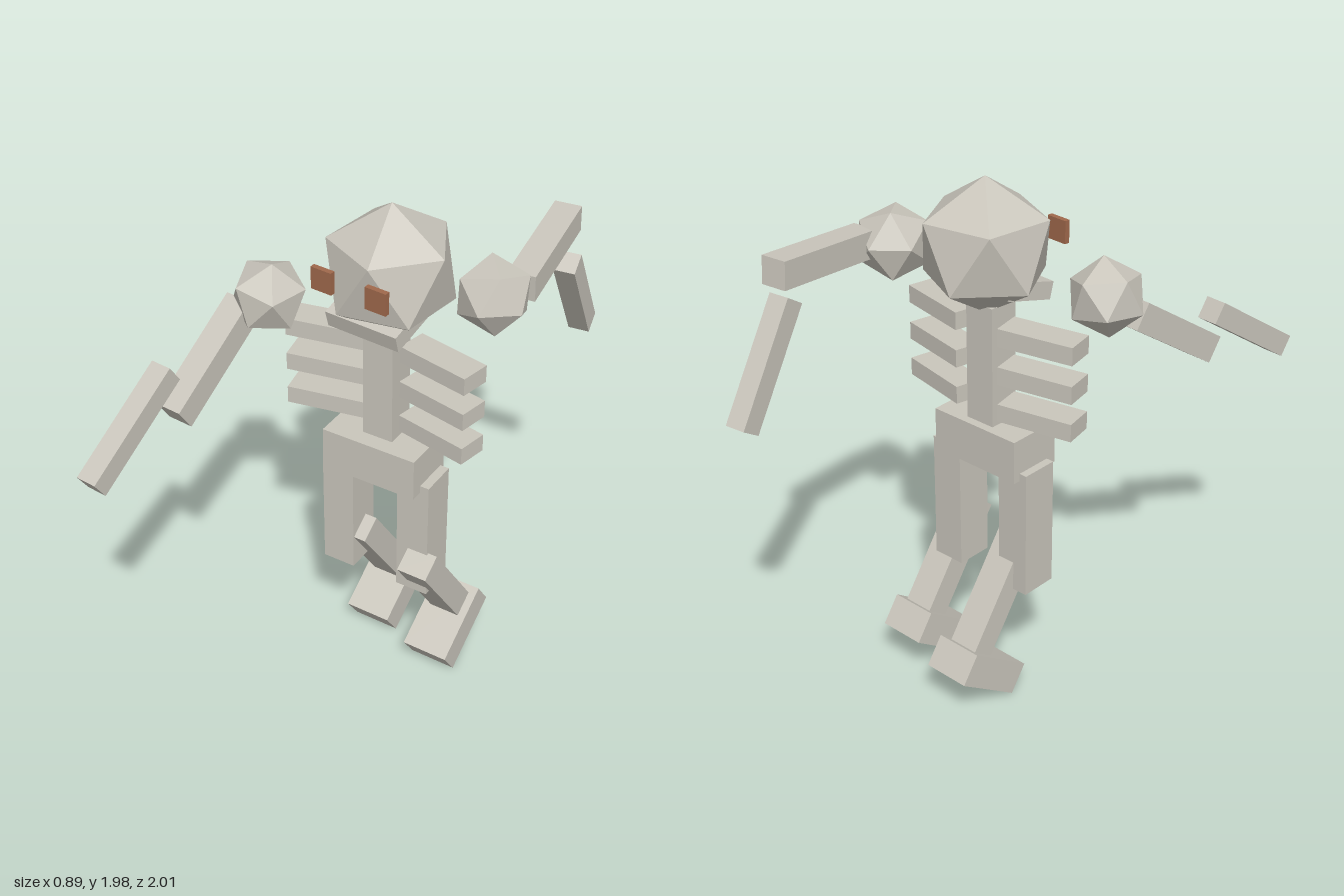
import * as THREE from 'three';

const D = Math.PI / 180;

export function createModel() {
  const model = new THREE.Group();
  model.name = 'skeletonFigure';

  const bone = new THREE.MeshStandardMaterial({ color: 0xcac6bc });
  bone.name = 'bone';
  const eyeBrown = new THREE.MeshStandardMaterial({ color: 0xa0694c });
  eyeBrown.name = 'eyeBrown';

  // Turn a part by yaw (about y) and then pitch (about its own x), in degrees
  function place(geometry, name, pos, yaw, pitch, material = bone) {
    const mesh = new THREE.Mesh(geometry, material);
    mesh.name = name;
    mesh.position.set(...pos);
    mesh.rotation.set(pitch * D, yaw * D, 0, 'YXZ');
    model.add(mesh);
    return mesh;
  }
  const box = (name, size, pos, yaw = 0, pitch = 0, material = bone) =>
    place(new THREE.BoxGeometry(...size), name, pos, yaw, pitch, material);

  // Faceted ball standing on one of its points
  function ball(name, radius, pos, yaw, pitch) {
    const g = new THREE.IcosahedronGeometry(radius, 0);
    g.rotateX(-Math.atan((1 + Math.sqrt(5)) / 2));
    g.rotateY(158 * D);
    return place(g, name, pos, yaw, pitch);
  }

  // Head, jaw and eyes
  const headYaw = 10;
  ball('head', 0.247, [0.003, 1.733, -0.1], headYaw, 0);
  box('jaw', [0.29, 0.065, 0.2], [0.01, 1.59, -0.03], headYaw, 15);
  box('rightEye', [0.083, 0.083, 0.02], [-0.07, 1.76, 0.148], headYaw, 0, eyeBrown);
  box('leftEye', [0.083, 0.083, 0.02], [0.147, 1.76, 0.112], headYaw, 0, eyeBrown);

  // Spine and pelvis
  const torsoYaw = 13.7;
  box('spine', [0.12, 0.48, 0.12], [0.003, 1.29, -0.08], torsoYaw);
  box('pelvis', [0.38, 0.165, 0.216], [0.005, 0.993, -0.065], torsoYaw);

  for (const side of [-1, 1]) {
    const label = side > 0 ? 'left' : 'right';
    const c = Math.cos(torsoYaw * D), s = Math.sin(torsoYaw * D);

    // Ribs sweep forward from the spine
    for (const y of [1.152, 1.296, 1.441]) {
      box(label + 'Rib', [0.29, 0.067, 0.115],
        [0.006 + side * 0.228 * c, y, -0.07 - side * 0.228 * s], torsoYaw - side * 11.5);
    }

    // Thigh, bent shin and foot
    const legX = 0.005 + side * 0.157;
    box(label + 'Thigh', [0.13, 0.5, 0.145],
      [0.005 + side * 0.153, 0.69, -0.075 - side * 0.04], torsoYaw);
    box(label + 'Shin', [0.12, 0.5, 0.1], [legX + 0.03, 0.403, -0.162], 13, 35);
    box(label + 'Foot', [0.185, 0.12, 0.31], [legX + 0.008, 0.142, -0.25], 13, 35);
  }

  // Arms: the right one swings forward, the left one back
  const upperArm = [0.1, 0.46, 0.1], forearm = [0.08, 0.465, 0.08];
  ball('rightShoulder', 0.14, [-0.325, 1.6, 0.165], 9, -57);
  box('rightUpperArm', upperArm, [-0.365, 1.43, 0.41], 9, -57);
  box('rightForearm', forearm, [-0.35, 1.335, 0.778], 8.5, -57);

  ball('leftShoulder', 0.14, [0.307, 1.685, -0.277], 20.5, 95);
  box('leftUpperArm', upperArm, [0.268, 1.716, -0.583], 20.5, 95);
  box('leftForearm', forearm, [0.212, 1.41, -0.845], 21, 33.4);

  return model;
}
